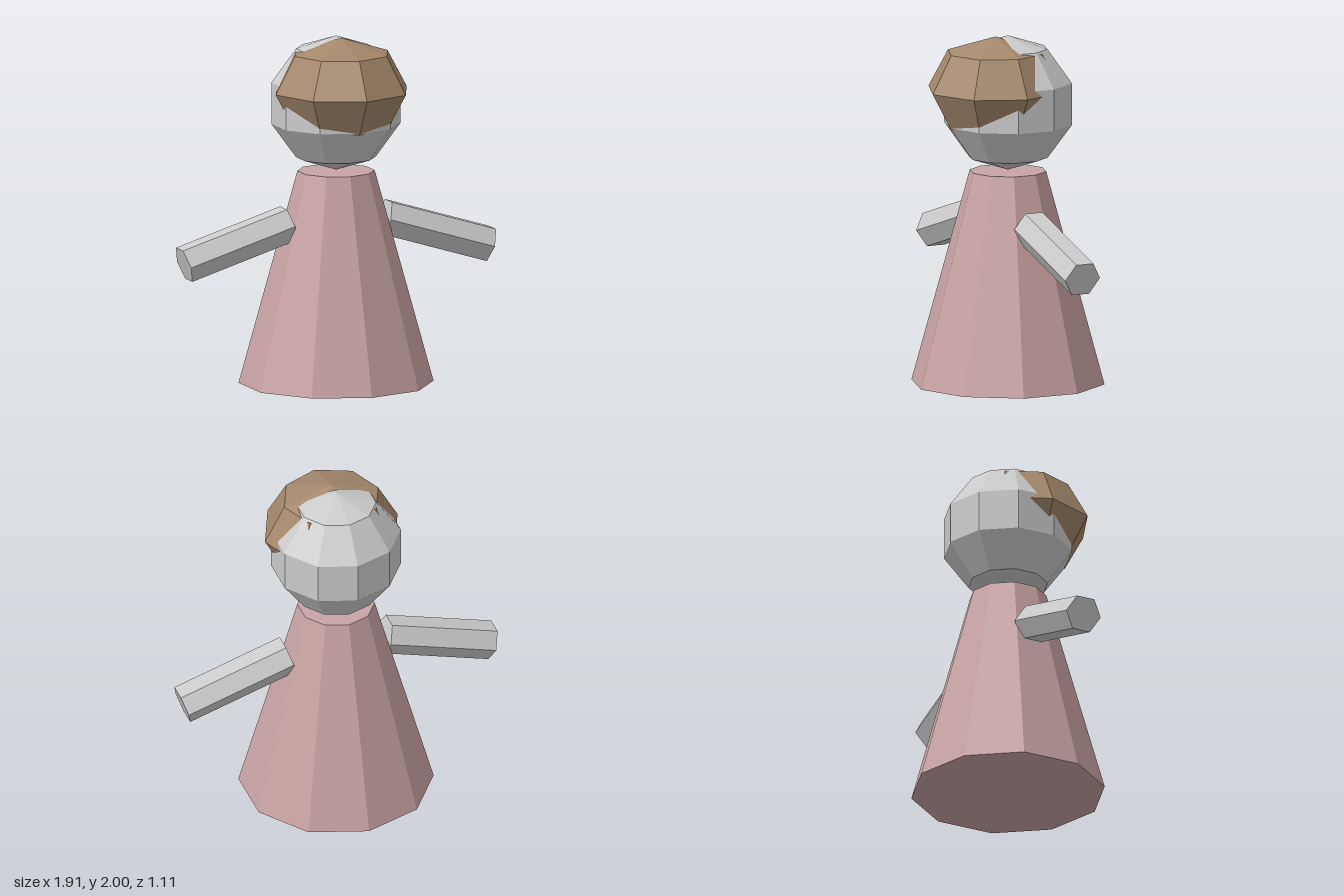
import * as THREE from 'three';

const flat = (color) => new THREE.MeshStandardMaterial({ color, flatShading: true });

export function createModel() {
  const model = new THREE.Group();
  model.name = 'figure';
  const grey = flat(0xcccccc);
  const pink = flat(0xc9a3a4);
  const brown = flat(0xa5886c);

  const add = (name, geometry, material, x, y, z) => {
    const mesh = new THREE.Mesh(geometry, material);
    mesh.name = name;
    mesh.position.set(x, y, z);
    model.add(mesh);
    return mesh;
  };

  // Robe: ten-sided tapered cone with a corner facing front
  add('robe', new THREE.CylinderGeometry(0.22, 0.555, 1.22, 10), pink, 0, 0.61, 0);

  // Head: low-poly ball, turned so a corner faces front
  const head = new THREE.SphereGeometry(0.387, 10, 5).rotateY(Math.PI / 2);
  add('head', head, grey, 0, 1.612, 0);

  // Hair: flattened ball pushed forward through the head
  const hair = new THREE.SphereGeometry(0.4, 8, 4).scale(1, 0.76, 1);
  add('hair', hair, brown, 0, 1.695, 0.08);

  // Arms: hexagonal rods sloping down and outward
  const armGeometry = new THREE.CylinderGeometry(0.11, 0.11, 0.665, 6);
  for (const side of [1, -1]) {
    const arm = add(side > 0 ? 'leftArm' : 'rightArm', armGeometry, grey, side * 0.61, 0.835, 0);
    arm.rotation.z = side * (Math.PI / 2 - 0.3);
  }

  return model;
}
